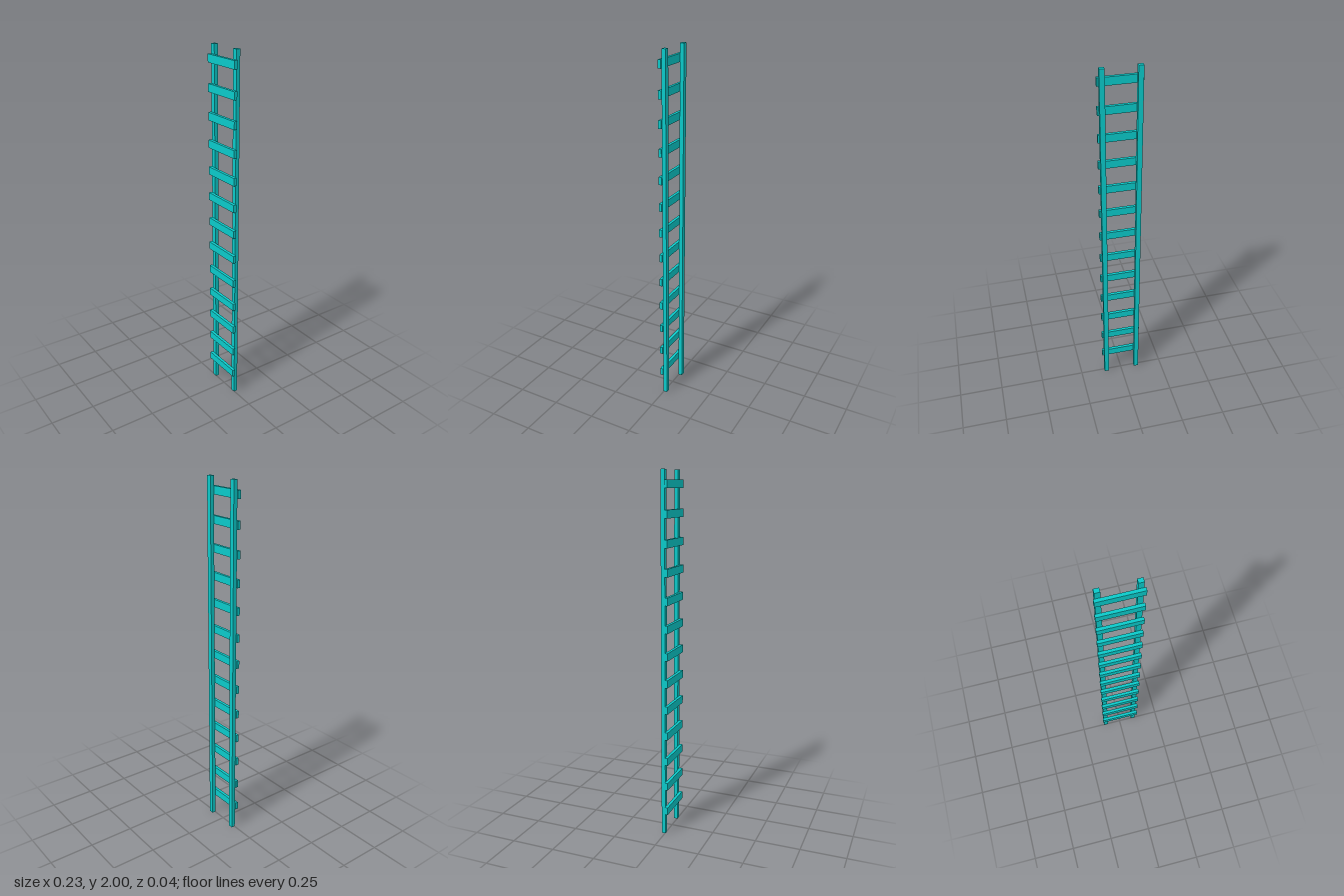
import * as THREE from 'three';

export function createModel() {
  const model = new THREE.Group();
  model.name = 'ladder';
  const teal = new THREE.MeshStandardMaterial({ color: 0x0acaca });
  teal.name = 'teal';

  const addBox = (name, [w, h, d], [x, y, z]) => {
    const mesh = new THREE.Mesh(new THREE.BoxGeometry(w, h, d), teal);
    mesh.name = name;
    mesh.position.set(x, y, z);
    model.add(mesh);
  };

  // Two upright rails
  addBox('rightRail', [0.027, 2, 0.022], [-0.095, 1, -0.0085]);
  addBox('leftRail', [0.027, 2, 0.022], [0.093, 1, -0.0085]);

  // Flat rungs fixed to the front of the rails
  const rungCount = 13;
  for (let i = 0; i < rungCount; i++) {
    addBox(`rung${i + 1}`, [0.23, 0.043, 0.017], [0, 0.142 + i * 0.1488, 0.011]);
  }

  return model;
}
